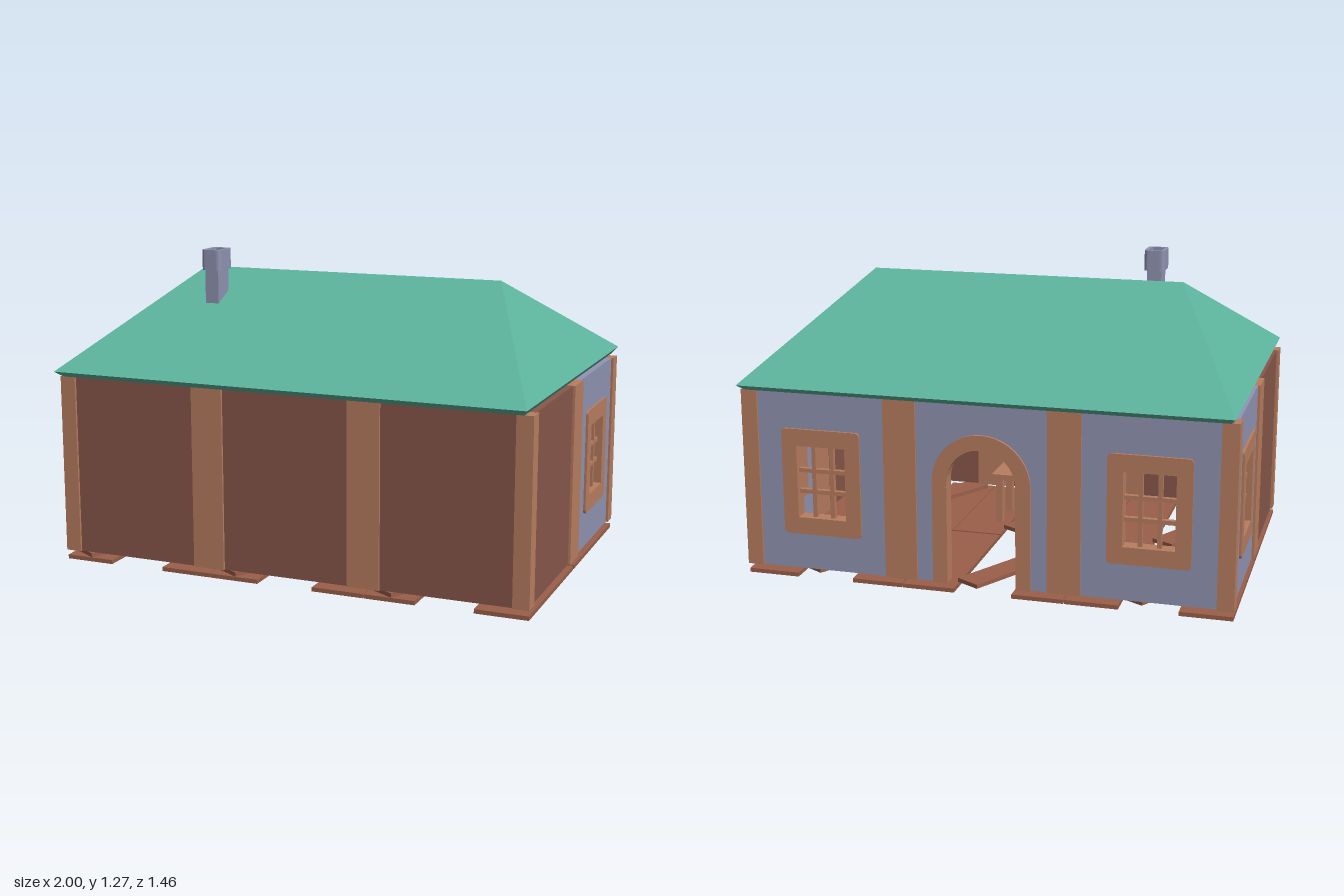
import * as THREE from 'three';

const mat = (name, color, side = THREE.FrontSide) => {
  const m = new THREE.MeshStandardMaterial({ color, side });
  m.name = name;
  return m;
};

export function createModel() {
  const house = new THREE.Group();
  house.name = 'house';
  const timber = mat('timber', 0xb87d60);
  const boards = mat('brown boards', 0x88574a);
  const plaster = mat('blue plaster', 0x9094b2);
  const plank = mat('floor plank', 0x9a5f4a);
  const tile = mat('green roof', 0x5cb39c, THREE.DoubleSide);

  const add = (parent, name, geo, material, x = 0, y = 0, z = 0) => {
    const m = new THREE.Mesh(geo, material);
    m.name = name;
    m.position.set(x, y, z);
    parent.add(m);
    return m;
  };
  const box = (parent, name, material, w, h, d, x, y, z) =>
    add(parent, name, new THREE.BoxGeometry(w, h, d), material, x, y, z);

  // outlines: rectangle with optional round corners, and a doorway with a round top
  const rect = (w, h, cy, r = 0) => {
    const s = new THREE.Shape(), a = w / 2, b = cy - h / 2, t = cy + h / 2;
    s.moveTo(-a + r, b).lineTo(a - r, b);
    if (r) s.quadraticCurveTo(a, b, a, b + r);
    s.lineTo(a, t - r);
    if (r) s.quadraticCurveTo(a, t, a - r, t);
    s.lineTo(-a + r, t);
    if (r) s.quadraticCurveTo(-a, t, -a, t - r);
    s.lineTo(-a, b + r);
    if (r) s.quadraticCurveTo(-a, b, -a + r, b);
    return s;
  };
  const BASE = 0.04, TOP = 0.78, H = TOP - BASE, MID = (TOP + BASE) / 2;
  const archPath = (r, top) => {
    const s = new THREE.Shape();
    s.moveTo(-r, BASE).lineTo(r, BASE).lineTo(r, top - r);
    s.absarc(0, top - r, r, 0, Math.PI, false);
    s.lineTo(-r, BASE);
    return s;
  };
  const slab = (shape, depth) =>
    new THREE.ExtrudeGeometry(shape, { depth, bevelEnabled: false, curveSegments: 10 });

  // wall module, outer face towards local +z
  const SPAN = 2 / 3, POST = 0.0667;
  const wall = (kind, x, z, turn) => {
    const g = new THREE.Group();
    g.name = kind + 'Wall';
    g.position.set(x, 0, z);
    g.rotation.y = turn;
    house.add(g);
    for (const s of [-1, 1])
      box(g, 'post', timber, POST, H, 0.06, s * (SPAN - POST) / 2, MID, -0.03);
    const panelW = SPAN - 2 * POST;
    if (kind === 'board') {
      box(g, 'boardPanel', boards, panelW, H, 0.04, 0, MID, -0.03);
    } else if (kind === 'window') {
      const panel = rect(panelW, H, MID);
      panel.holes.push(rect(0.27, 0.37, 0.41));
      add(g, 'plasterPanel', slab(panel, 0.04), plaster, 0, 0, -0.05);
      const frame = rect(0.33, 0.44, 0.41, 0.02);
      frame.holes.push(rect(0.205, 0.3, 0.41));
      add(g, 'windowFrame', slab(frame, 0.06), timber, 0, 0, -0.06);
      for (const s of [-1, 1]) {
        box(g, 'uprightBar', timber, 0.017, 0.3, 0.02, s * 0.038, 0.41, -0.03);
        box(g, 'crossBar', timber, 0.205, 0.017, 0.02, 0, 0.41 + s * 0.044, -0.03);
      }
    } else {
      // panel outline runs around the doorway
      const r = 0.16, spring = 0.62 - r, a = panelW / 2;
      const panel = new THREE.Shape();
      panel.moveTo(-a, BASE).lineTo(-r, BASE).lineTo(-r, spring);
      panel.absarc(0, spring, r, Math.PI, 0, true);
      panel.lineTo(r, BASE).lineTo(a, BASE).lineTo(a, TOP).lineTo(-a, TOP);
      add(g, 'doorwayPanel', slab(panel, 0.04), plaster, 0, 0, -0.05);
      const frame = archPath(0.2, 0.66);
      const hole = archPath(0.14, 0.6);
      const outline = new THREE.Shape([
        ...frame.getPoints(10).slice(1, -1), new THREE.Vector2(-0.2, BASE),
        ...hole.getPoints(10).slice(1, -1).reverse().reduce((p, v) => [...p, v],
          [new THREE.Vector2(-0.14, BASE)]),
      ]);
      add(g, 'doorFrame', slab(outline, 0.06), timber, 0, 0, -0.06);
    }
  };
  for (const i of [-1, 0, 1]) {
    wall('board', i * SPAN, SPAN, 0);
    wall(i ? 'window' : 'doorway', i * SPAN, -SPAN, Math.PI);
  }
  for (const s of [-1, 1]) {
    wall('board', s, SPAN / 2, s * Math.PI / 2);
    wall('window', s, -SPAN / 2, s * Math.PI / 2);
  }

  // loose floor: two planks and a slanting one in each bay
  for (let i = 0; i < 3; i++) {
    for (const z of [SPAN / 2, -SPAN / 2]) {
      const x = -1 + i * SPAN;
      box(house, 'floorPlank', plank, 0.21, 0.017, 0.655, x + 0.107, 0.0085, z);
      box(house, 'floorPlank', plank, 0.215, 0.017, 0.655, x + 0.557, 0.0085, z);
      const d = box(house, 'slantingPlank', plank, 0.11, 0.017, 0.68, x + 0.238, 0.0285, z + 0.01);
      d.rotation.y = -0.516;
    }
  }

  // hipped roof with a narrow sloping eave
  const ring = (x, y, z) => [[-x, y, z], [x, y, z], [x, y, -z], [-x, y, -z]];
  const E = ring(0.99, 0.81, 0.73), B = ring(0.97, 0.785, 0.69);
  const L = [-0.665, 1.175, 0], R = [0.665, 1.175, 0];
  const tris = [];
  const tri = (...p) => tris.push(...p.flat());
  const quad = (a, b, c, d) => { tri(a, b, c); tri(a, c, d); };
  quad(E[0], E[1], R, L);
  tri(E[1], E[2], R);
  quad(E[2], E[3], L, R);
  tri(E[3], E[0], L);
  for (let i = 0; i < 4; i++) quad(B[i], B[(i + 1) % 4], E[(i + 1) % 4], E[i]);
  quad(B[3], B[2], B[1], B[0]);
  const roof = new THREE.BufferGeometry();
  roof.setAttribute('position', new THREE.Float32BufferAttribute(tris, 3));
  roof.computeVertexNormals();
  add(house, 'roof', roof, tile);

  // chimney with a hollow, round-cornered pot
  box(house, 'chimneyShaft', plaster, 0.06, 0.15, 0.094, -0.515, 1.125, 0.2);
  const pot = rect(0.086, 0.116, 0, 0.02);
  pot.holes.push(rect(0.056, 0.09, 0, 0.008));
  const cap = add(house, 'chimneyPot', slab(pot, 0.085), plaster, -0.515, 1.19, 0.2);
  cap.rotation.x = -Math.PI / 2;

  // plain table inside
  box(house, 'tableTop', timber, 0.36, 0.025, 0.22, 0, 0.25, 0.2);
  for (const x of [-0.15, 0.15])
    for (const z of [0.12, 0.28])
      box(house, 'tableLeg', timber, 0.03, 0.2, 0.03, x, 0.1375, z);

  return house;
}
